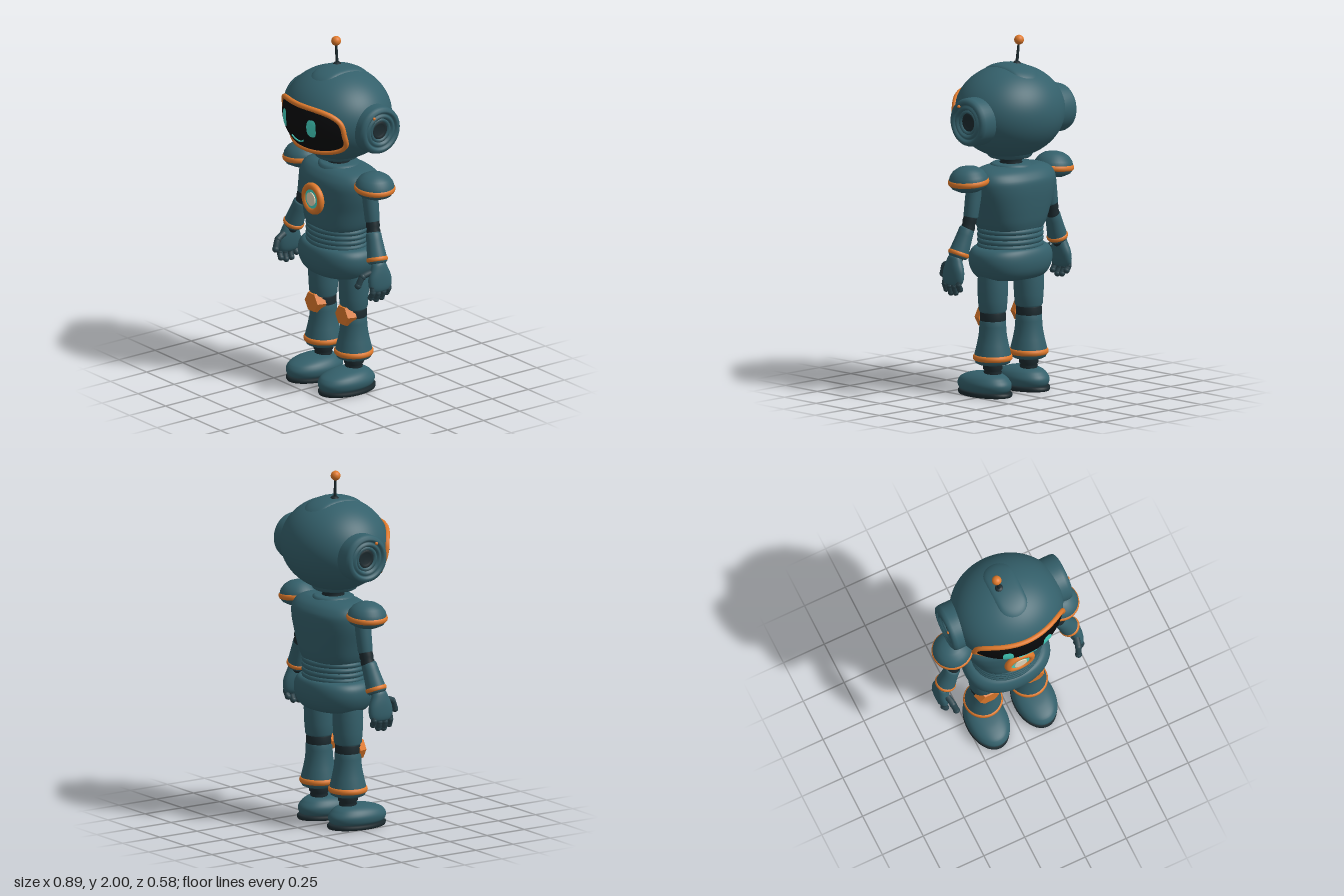
import * as THREE from 'three';

const paint = (color) => new THREE.MeshStandardMaterial({ color });
const V = (x, y, z) => new THREE.Vector3(x, y, z);
const HEAD = { y: 1.58, rx: 0.32, ry: 0.26, rz: 0.29 };

// Smooth body through [y, halfWidth, halfDepth, zCentre] sections, listed upwards; n sets how boxy it is
function loft(sections, n = 2, around = 48, steps = 5) {
  const a = new THREE.CatmullRomCurve3(sections.map(([y, rx, rz]) => V(rx, y, rz)), false, 'centripetal');
  const last = sections.length - 1, rows = last * steps, pos = [], idx = [];
  const power = (c) => Math.sign(c) * Math.abs(c) ** (2 / n);
  for (let i = 0; i <= rows; i++) {
    const p = a.getPoint(i / rows), k = Math.min(Math.floor(i / steps), last - 1);
    const zc = THREE.MathUtils.lerp(sections[k][3] ?? 0, sections[k + 1][3] ?? 0, i / steps - k);
    for (let j = 0; j < around; j++) {
      const t = (j / around) * Math.PI * 2;
      pos.push(Math.max(p.x, 0) * power(Math.cos(t)), p.y, zc + Math.max(p.z, 0) * power(Math.sin(t)));
      if (i === rows) continue;
      const q = i * around + j, r = i * around + (j + 1) % around;
      idx.push(q, q + around, r, r, q + around, r + around);
    }
  }
  return indexed(pos, idx);
}

function indexed(pos, idx) {
  const g = new THREE.BufferGeometry();
  g.setAttribute('position', new THREE.Float32BufferAttribute(pos, 3));
  g.setIndex(idx);
  g.computeVertexNormals();
  return g;
}

// Filled outline draped over a surface: outline(angle) -> [u, v], place(u, v, r) -> Vector3
function patch(outline, place, rings = 12, around = 64) {
  const pos = [], idx = [];
  for (let i = 0; i <= rings; i++) for (let j = 0; j < around; j++) {
    const [u, v] = outline((j / around) * Math.PI * 2), r = Math.max(i / rings, 0.001);
    pos.push(...place(u * r, v * r, r).toArray());
    if (i === rings) continue;
    const a = i * around + j, c = i * around + (j + 1) % around;
    idx.push(a, a + around, c, c, a + around, c + around);
  }
  return indexed(pos, idx);
}

const superellipse = (w, h, n) => (t) => [Math.cos(t), Math.sin(t)].map(
  (c, i) => [w, h][i] * Math.sign(c) * Math.abs(c) ** (2 / n));
const lathe = (points, seg = 40) => new THREE.LatheGeometry(points.map(([r, y]) => new THREE.Vector2(r, y)), seg);
const onFace = (x, y, lift) => V(x, y,
  HEAD.rz * Math.sqrt(Math.max(0, 1 - (x / HEAD.rx) ** 2 - ((y - HEAD.y) / HEAD.ry) ** 2)) + lift);
const tube = (points, r, closed = false, seg = 40) =>
  new THREE.TubeGeometry(new THREE.CatmullRomCurve3(points, closed), seg, r, 10, closed);

export function createModel() {
  const model = new THREE.Group();
  model.name = 'robot';
  const shell = paint(0x34606b), dark = paint(0x1c2a2f), finger = paint(0x2a444c), orange = paint(0xe07a2c),
    black = paint(0x08090b), teal = paint(0x45d6c4), cream = paint(0xe8dcc0);
  const add = (name, geo, mat, at = [0, 0, 0], parent = model) => {
    const m = new THREE.Mesh(geo, mat);
    m.name = name;
    m.position.set(...at);
    parent.add(m);
    return m;
  };
  const group = (name) => {
    const g = new THREE.Group();
    g.name = name;
    model.add(g);
    return g;
  };
  const ball = (name, r, mat, at, parent, scale = [1, 1, 1]) =>
    add(name, new THREE.SphereGeometry(r, 32, 20), mat, at, parent).scale.set(...scale);
  const band = (name, r, t, mat, at, parent) => {
    const m = add(name, new THREE.TorusGeometry(r, t, 12, 48), mat, at, parent);
    m.rotation.x = Math.PI / 2;
    return m;
  };
  // Turned piece whose axis runs from a to b; profile is [radius, share of length]
  const turned = (name, a, b, profile, mat, parent) => {
    const d = b.clone().sub(a), len = d.length();
    const m = add(name, lathe(profile.map(([r, t]) => [r, t * len])), mat, a.toArray(), parent);
    m.quaternion.setFromUnitVectors(V(0, 1, 0), d.normalize());
    return m;
  };

  // Head
  const head = group('head');
  add('headShell', new THREE.SphereGeometry(1, 72, 48), shell, [0, HEAD.y, 0], head).scale.set(HEAD.rx, HEAD.ry, HEAD.rz);
  add('headBase', lathe([[0, 1.322], [0.11, 1.322], [0.122, 1.33], [0.135, 1.36]]), shell, [0, 0, 0], head);
  const stadium = (t) => [0.088 * Math.cos(t), 0.088 * Math.sin(t) + 0.087 * Math.tanh(6 * Math.sin(t))];
  add('crownPanel', patch(stadium, (u, v, r) => {
    const z = -v - 0.012;
    const y = HEAD.y + HEAD.ry * Math.sqrt(1 - (u / HEAD.rx) ** 2 - (z / HEAD.rz) ** 2);
    return V(u, y + 0.011 * (1 - r ** 10) - 0.003, z);
  }, 20), shell, [0, 0, 0], head);

  // Visor and face
  const frame = superellipse(0.268, 0.132, 3), vy = 1.547;
  add('visor', patch(frame, (u, v) => onFace(u, v + vy, 0.004), 20, 96), black, [0, 0, 0], head);
  const rim = Array.from({ length: 64 }, (_, i) => frame((i / 64) * Math.PI * 2)).map(([u, v]) => onFace(u, v + vy, 0.003));
  add('visorRim', tube(rim, 0.015, true, 160), orange, [0, 0, 0], head);
  for (const s of [-1, 1]) add('eye', patch(superellipse(0.029, 0.05, 2.8),
    (u, v) => onFace(u + 0.12 * s, v + 1.57, 0.008), 6, 32), teal, [0, 0, 0], head);
  const smile = [-1, -0.5, 0, 0.5, 1].map((k) => onFace(0.055 * k, 1.465 + 0.021 * k * k, 0.006));
  add('smile', tube(smile, 0.005), teal, [0, 0, 0], head);

  // Antenna
  const foot = V(-0.032, 1.835, -0.022), tip = V(-0.046, 1.973, -0.026);
  add('antennaBase', lathe([[0.024, 0], [0.024, 0.012], [0.015, 0.022], [0, 0.023]], 24), dark, [-0.032, 1.832, -0.022], head);
  turned('antennaRod', foot, tip, [[0.009, 0], [0.006, 1]], dark, head);
  ball('antennaBall', 0.027, orange, tip.toArray(), head);

  // Ear pods with stepped, recessed faces
  for (const s of [-1, 1]) {
    const pod = (name, profile, mat) => {
      add(name, lathe(profile, 48), mat, [0, 1.56, -0.03], head).rotation.z = -s * Math.PI / 2;
    };
    pod('earPod', [[0.13, 0.23], [0.135, 0.27], [0.135, 0.34], [0.129, 0.358], [0.115, 0.366], [0.104, 0.366],
      [0.1, 0.355], [0.092, 0.352], [0.088, 0.362], [0.074, 0.362], [0.07, 0.345], [0.055, 0.343]], shell);
    pod('earRing', [[0.068, 0.335], [0.068, 0.352], [0.052, 0.352], [0.05, 0.335]], shell);
    pod('earCore', [[0.054, 0.335], [0.052, 0.344], [0.035, 0.344], [0.033, 0.338], [0, 0.338]], dark);
    ball('earLight', 0.009, orange, [0.366 * s, 1.645, 0.025], head);
  }

  // Neck, torso, waist bellows and pelvis
  add('neck', lathe([[0.065, 1.25], [0.065, 1.29], [0.058, 1.3], [0.065, 1.31], [0.065, 1.34]]), dark, [0, 0, -0.01]);
  add('collar', lathe([[0.12, 1.26], [0.115, 1.283], [0.1, 1.292], [0.06, 1.292]]), shell, [0, 0, -0.01]);
  add('torso', loft([[0.925, 0.02, 0.02, -0.005], [0.927, 0.18, 0.15, -0.005], [0.95, 0.2, 0.163, -0.005],
    [1.05, 0.235, 0.174, -0.015], [1.15, 0.264, 0.18, -0.02], [1.21, 0.268, 0.175, -0.022],
    [1.25, 0.25, 0.15, -0.02], [1.275, 0.2, 0.115, -0.015], [1.283, 0.1, 0.08, -0.01], [1.283, 0.01, 0.01, -0.01]], 2.3, 64),
    shell);
  for (let i = 0; i < 4; i++) band('waistRing', 0.183, 0.016, shell, [0, 0.835 + i * 0.029, -0.005]).scale.set(1, 0.84, 1);
  add('waistCore', lathe([[0.18, 0.81], [0.18, 0.94]]), dark, [0, 0, -0.005]).scale.z = 0.83;
  add('pelvis', loft([[0.648, 0.01, 0.01], [0.649, 0.15, 0.11], [0.662, 0.205, 0.155], [0.7, 0.235, 0.182], [0.75, 0.251, 0.192],
    [0.795, 0.246, 0.187], [0.823, 0.222, 0.172], [0.832, 0.18, 0.14], [0.832, 0.01, 0.01]].map((s) => [...s, -0.006]), 2.2, 64),
    shell);

  // Chest light
  add('chestRim', new THREE.TorusGeometry(0.071, 0.02, 16, 56), orange, [0, 1.105, 0.17]);
  [['chestPlate', 0.07, 0.172, dark], ['chestGlow', 0.056, 0.176, teal], ['chestLens', 0.038, 0.182, cream]]
    .forEach(([name, r, z, mat]) => {
      add(name, new THREE.CylinderGeometry(r, r, 0.03, 40), mat, [0, 1.105, z - 0.01]).rotation.x = Math.PI / 2;
    });

  for (const s of [-1, 1]) {
    const side = s > 0 ? 'left' : 'right';

    // Leg
    const leg = group(side + 'Leg'), lx = 0.138 * s, lz = -0.008;
    add('thigh', lathe([[0, 0.465], [0.066, 0.465], [0.077, 0.48], [0.082, 0.54], [0.085, 0.62], [0.08, 0.7]]), shell, [lx, 0, lz], leg);
    add('knee', lathe([[0.068, 0.41], [0.072, 0.425], [0.072, 0.465], [0.066, 0.48]]), dark, [lx, 0, lz], leg);
    add('shin', lathe([[0, 0.178], [0.08, 0.178], [0.095, 0.186], [0.104, 0.21], [0.1, 0.24], [0.088, 0.29], [0.078, 0.34],
      [0.074, 0.39], [0.074, 0.42], [0.066, 0.432], [0, 0.432]]), shell, [lx, 0, lz], leg);
    band('shinBand', 0.098, 0.012, orange, [lx, 0.216, lz], leg).scale.z = 1.4;
    const pad = add('kneePad', new THREE.CylinderGeometry(0.058, 0.074, 0.05, 6), orange, [lx, 0.438, 0.052], leg);
    pad.geometry.rotateY(Math.PI / 2);
    pad.geometry.rotateX(Math.PI / 2);
    pad.material = orange.clone();
    pad.material.flatShading = true;
    add('ankle', lathe([[0.045, 0.1], [0.05, 0.135], [0.046, 0.142], [0.055, 0.152], [0.055, 0.18]]), dark, [lx, 0, lz], leg);
    add('foot', loft([[0.02, 0.01, 0.01], [0.021, 0.09, 0.145], [0.035, 0.108, 0.168], [0.065, 0.115, 0.175], [0.095, 0.103, 0.155],
      [0.118, 0.075, 0.11, -0.012], [0.128, 0.035, 0.055, -0.02], [0.129, 0.005, 0.005, -0.02]], 2.1),
      shell, [0.145 * s, 0, 0.049], leg);
    add('sole', lathe([[0, 0], [0.97, 0], [1, 0.008], [1, 0.02], [0.95, 0.027], [0, 0.027]], 48), dark,
      [0.145 * s, 0, 0.045], leg).scale.set(0.115, 1, 0.18);

    // Shoulder pad
    const arm = group(side + 'Arm');
    const shoulder = add('shoulderPad', lathe([[0, -0.05], [0.06, -0.048], [0.095, -0.03], [0.108, -0.01], [0.11, 0.012],
      [0.102, 0.038], [0.083, 0.063], [0.054, 0.081], [0.025, 0.088], [0, 0.09]]), shell, [0.325 * s, 1.221, -0.01], arm);
    shoulder.rotation.z = -0.08 * s;
    band('shoulderBand', 0.104, 0.011, orange, [0, 0.003, 0], shoulder).scale.z = 1.5;

    // Arm segments
    const P = (x, y, z) => V(x * s, y, z);
    turned('upperArm', P(0.308, 1.015, -0.008), P(0.275, 1.22, -0.01),
      [[0, 0], [0.034, 0], [0.041, 0.06], [0.044, 0.5], [0.046, 1]], shell, arm);
    turned('elbow', P(0.328, 0.945, -0.002), P(0.307, 1.03, -0.008),
      [[0.037, 0], [0.039, 0.3], [0.035, 0.45], [0.039, 0.6], [0.037, 1]], dark, arm);
    const wrist = P(0.387, 0.802, 0.016), cuff = P(0.325, 0.965, 0);
    turned('forearm', wrist, cuff, [[0, 0], [0.046, 0], [0.055, 0.06], [0.056, 0.15], [0.05, 0.45], [0.045, 0.75],
      [0.043, 0.94], [0.036, 1], [0, 1]], shell, arm);
    const at = wrist.clone().lerp(cuff, 0.14);
    const wristBand = add('wristBand', new THREE.TorusGeometry(0.052, 0.008, 12, 40), orange, at.toArray(), arm);
    wristBand.scale.z = 1.6;
    wristBand.quaternion.setFromUnitVectors(V(0, 0, 1), cuff.clone().sub(wrist).normalize());

    // Hand: palm, four curled fingers and a thumb
    ball('wrist', 0.036, dark, [0.392 * s, 0.795, 0.017], arm);
    const palm = add('palm', loft([[-0.085, 0.005, 0.01], [-0.083, 0.022, 0.055], [-0.06, 0.031, 0.072], [-0.01, 0.036, 0.073],
      [0.04, 0.034, 0.054], [0.075, 0.026, 0.036], [0.08, 0.004, 0.005]], 2.2, 32), shell, [0.409 * s, 0.738, 0.02], arm);
    palm.rotation.z = 0.1 * s;
    [0.076, 0.04, 0.003, -0.032].forEach((z, i) => {
      const low = [0.622, 0.606, 0.61, 0.632][i];
      const joints = [P(0.418, 0.685, z), P(0.422, (0.685 + low) / 2, z + 0.002), P(0.408, low, z + 0.004)];
      add('finger', tube(joints, 0.0165, false, 12), finger, [0, 0, 0], arm);
      joints.forEach((p) => ball('fingerJoint', 0.0175, finger, p.toArray(), arm));
    });
    const thumb = [P(0.395, 0.765, 0.07), P(0.384, 0.745, 0.118), P(0.374, 0.695, 0.142)];
    add('thumb', tube(thumb, 0.018, false, 16), finger, [0, 0, 0], arm);
    thumb.slice(1).forEach((p) => ball('thumbJoint', 0.0195, finger, p.toArray(), arm));
  }
  return model;
}
